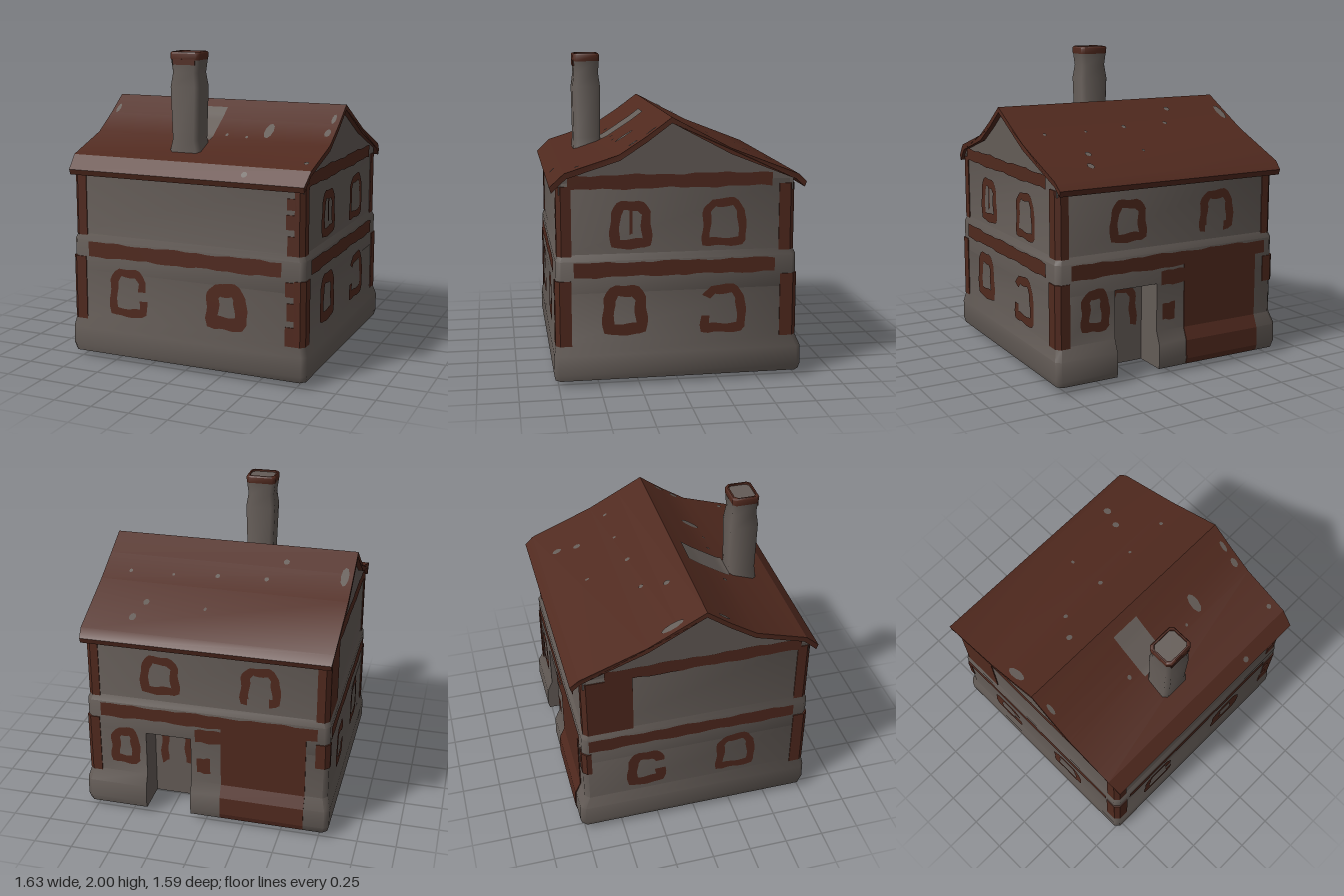
import * as THREE from 'three';
import { toCreasedNormals } from 'three/addons/utils/BufferGeometryUtils.js';

const brown = new THREE.MeshStandardMaterial({ color: 0x50291e });
brown.name = 'brownTimber';
const grey = new THREE.MeshStandardMaterial({ color: 0x645c57 });
grey.name = 'greyPlaster';

// Roof line as [z, y], front eave to back eave
const ROOF = [[0.79, 1.25], [0.7, 1.335], [0.37, 1.44], [0.2, 1.55], [0.05, 1.66], [-0.12, 1.57], [-0.32, 1.465], [-0.74, 1.3], [-0.795, 1.25]];
const roofY = z => {
  for (let i = 1; i < ROOF.length; i++) {
    const [za, ya] = ROOF[i - 1], [zb, yb] = ROOF[i];
    if (z >= zb) return ya + (yb - ya) * (z - za) / (zb - za);
  }
  return 1.25;
};
const DOOR = { x0: 0.1, x1: 0.4, z: -0.55, top: 0.59 };
// Wall distance from the centre: [angle, lower storey, upper storey]
const SIDES = {
  front: [0, 0.76, 0.745], right: [Math.PI / 2, 0.795, 0.78],
  back: [Math.PI, 0.74, 0.72], left: [-Math.PI / 2, 0.795, 0.78],
};

function add(parent, name, geometry, material) {
  const mesh = new THREE.Mesh(geometry, material);
  mesh.name = name;
  parent.add(mesh);
  return mesh;
}
function fromPositions(pos) {
  const g = new THREE.BufferGeometry();
  g.setAttribute('position', new THREE.Float32BufferAttribute(pos, 3));
  g.computeVertexNormals();
  return g;
}
function box(x0, x1, y0, y1, z0, z1) {
  return new THREE.BoxGeometry(x1 - x0, y1 - y0, z1 - z0).translate((x0 + x1) / 2, (y0 + y1) / 2, (z0 + z1) / 2);
}
// Stacks bevelled rectangles [y, x0, x1, z0, z1]; the doorway can be cut out
function loft(rings, c, notch) {
  const loops = rings.map(([y, x0, x1, z0, z1]) => [
    [x1, z1 - c], [x1, z0 + c], [x1 - c, z0],
    ...(notch ? [[DOOR.x1, z0], [DOOR.x1, DOOR.z], [DOOR.x0, DOOR.z], [DOOR.x0, z0]] : []),
    [x0 + c, z0], [x0, z0 + c], [x0, z1 - c], [x0 + c, z1], [x1 - c, z1],
  ].map(([x, z]) => [x, y, z]));
  const pos = [];
  for (let k = 0; k + 1 < loops.length; k++) {
    const n = loops[k].length;
    for (let i = 0; i < n; i++) {
      const j = (i + 1) % n, a = loops[k][i], b = loops[k][j], d = loops[k + 1][i], e = loops[k + 1][j];
      pos.push(...a, ...b, ...e, ...a, ...e, ...d);
    }
  }
  return toCreasedNormals(fromPositions(pos), 0.85);
}
// Extrudes a [z, y] profile along x
function alongX(profile, x0, x1) {
  const shape = new THREE.Shape(profile.map(([z, y]) => new THREE.Vector2(-z, y)));
  return new THREE.ExtrudeGeometry(shape, { depth: x1 - x0, bevelEnabled: false })
    .rotateY(Math.PI / 2).translate(x0, 0, 0);
}
// Places a flat drawing on a wall
function onWall(parent, side, name, geometry, upper) {
  const [angle, low, high] = SIDES[side];
  const mesh = add(parent, name, geometry.translate(0, 0, (upper ? high : low) + 0.006), brown);
  mesh.rotation.y = angle;
}
// Rough edged painted board
function board(u0, u1, y0, y1) {
  const pts = [], n = Math.max(4, Math.round((u1 - u0) / 0.07));
  const w = i => 0.004 * (Math.sin(i * 2.3 + u0 * 9) + Math.sin(i * 0.9 + y0 * 5));
  for (let i = 0; i <= n; i++) pts.push(new THREE.Vector2(u0 + (u1 - u0) * i / n, y0 + w(i)));
  for (let i = n; i >= 0; i--) pts.push(new THREE.Vector2(u0 + (u1 - u0) * i / n, y1 + w(i + 3)));
  return new THREE.ShapeGeometry(new THREE.Shape(pts));
}
// Arched window outline with wobbling thickness and an optional gap
function frame(u0, u1, y0, y1, half = 0.025, gap = [2, 2]) {
  const cx = (u0 + u1) / 2, cy = (y0 + y1) / 2, rx = (u1 - u0) / 2 - half, ry = (y1 - y0) / 2 - half;
  const path = new THREE.Shape([[-1, -1], [1, -1], [0.93, 0.55], [0.55, 0.97], [-0.55, 0.97], [-0.93, 0.55], [-1, -1]]
    .map(([x, y]) => new THREE.Vector2(cx + x * rx, cy + y * ry)));
  const n = 44, mid = path.getSpacedPoints(n), pos = [];
  const edge = (i, s) => {
    const p = mid[i % n], a = mid[(i + n - 1) % n], b = mid[(i + 1) % n];
    const t = b.clone().sub(a).normalize();
    const h = half + 0.005 * Math.sin((i % n) * Math.PI * 10 / n + u0 * 7 + s);
    return [p.x + t.y * h * s, p.y - t.x * h * s, 0];
  };
  for (let i = 0; i < n; i++) {
    if (i / n >= gap[0] && i / n < gap[1]) continue;
    const a = edge(i, 1), b = edge(i + 1, 1), c = edge(i + 1, -1), d = edge(i, -1);
    pos.push(...a, ...b, ...c, ...a, ...c, ...d);
  }
  return fromPositions(pos);
}
// Lays a flat patch on the roof
function onRoof(parent, name, geometry, x, z) {
  geometry.rotateX(-Math.PI / 2).translate(x, 0, z);
  const p = geometry.attributes.position;
  for (let i = 0; i < p.count; i++) p.setY(i, roofY(p.getZ(i)) + 0.006);
  geometry.computeVertexNormals();
  add(parent, name, geometry, grey);
}
// Bevelled post wrapping a wall corner
function cornerPost(parent, sx, sz, y0, y1, wx, wz) {
  const k = y0 > 0.8 ? 2 : 1, x = SIDES.right[k] + 0.006, z = (sz > 0 ? SIDES.front : SIDES.back)[k] + 0.006, c = 0.028;
  const plan = [[x - wx, z], [x - c, z], [x, z - c], [x, z - wz], [x - wx, z - wz]];
  const shape = new THREE.Shape(plan.map(([px, pz]) => new THREE.Vector2(sx * px, -sz * pz)));
  add(parent, 'cornerPost', new THREE.ExtrudeGeometry(shape, { depth: y1 - y0, bevelEnabled: false })
    .rotateX(-Math.PI / 2).translate(0, y0, 0), brown);
}

export function createModel() {
  const house = new THREE.Group();
  house.name = 'house';

  // Walls with flared base and doorway
  add(house, 'lowerWalls', loft([
    [0.04, -0.805, 0.805, -0.77, 0.77], [0.08, -0.815, 0.815, -0.78, 0.778], [0.2, -0.815, 0.815, -0.775, 0.775],
    [0.28, -0.795, 0.795, -0.74, 0.76], [DOOR.top, -0.795, 0.795, -0.74, 0.76]], 0.03, true), grey);
  add(house, 'upperWalls', loft([
    [DOOR.top, -0.795, 0.795, -0.74, 0.76], [0.79, -0.795, 0.795, -0.74, 0.76],
    [0.83, -0.78, 0.78, -0.72, 0.745], [1.27, -0.78, 0.78, -0.72, 0.745]], 0.03), grey);
  add(house, 'doorLintel', box(0.07, 0.43, DOOR.top, 0.62, -0.735, DOOR.z + 0.02), grey);
  const inner = ROOF.slice(2, -2).map(([z, y]) => [z, y - 0.02]);
  add(house, 'gables', alongX([[0.735, 1.2], [0.735, 1.28], [0.7, 1.315], ...inner, [-0.715, 1.285], [-0.715, 1.2]], -0.779, 0.779), grey);

  // Rough underside with a sunken pit
  const under = new THREE.PlaneGeometry(1.6, 1.54, 16, 14).rotateX(Math.PI / 2);
  const p = under.attributes.position;
  for (let i = 0; i < p.count; i++) {
    const x = p.getX(i), z = p.getZ(i);
    let y = 0.04;
    if (x > -0.36 && x < 0.72 && Math.abs(z) < 0.65) y = 0.07 + 0.04 * Math.sin(x * 23 + z * 7) * Math.cos(z * 19 - x * 5);
    if (x > -0.45 && x < 0.45 && z > -0.5 && z < -0.15) y = 0.2;
    if (Math.hypot(x - 0.6, z - 0.17) < 0.09) y = 0;
    p.setY(i, y);
  }
  const kept = [], idx = under.index.array;
  for (let i = 0; i < idx.length; i += 3) {
    const t = [idx[i], idx[i + 1], idx[i + 2]];
    const x = t.reduce((s, k) => s + p.getX(k) / 3, 0), z = t.reduce((s, k) => s + p.getZ(k) / 3, 0);
    if (!(x > DOOR.x0 && x < DOOR.x1 && z < DOOR.z)) kept.push(...t);
  }
  under.setIndex(kept);
  add(house, 'underside', toCreasedNormals(under, 0.4), grey);

  // Roof slab, slightly narrower at the eaves
  const lower = ROOF.map(([z, y]) => [z * 0.985, y - 0.035]).reverse();
  const slab = alongX([...ROOF, ...lower], -0.812, 0.812), rp = slab.attributes.position;
  for (let i = 0; i < rp.count; i++) rp.setX(i, rp.getX(i) * (1 - 0.022 * THREE.MathUtils.clamp((1.36 - rp.getY(i)) / 0.12, 0, 1)));
  add(house, 'roof', toCreasedNormals(slab, 0.4), brown);
  const spots = [[0.5, -0.62, 0.022, 0.03], [0.45, -0.49, 0.02, 0.025], [0.06, -0.5, 0.01, 0.014], [0.05, -0.23, 0.015, 0.016],
    [0.34, -0.25, 0.01, 0.01], [0.63, -0.25, 0.012, 0.013], [-0.27, -0.22, 0.015, 0.015], [-0.37, -0.08, 0.02, 0.02],
    [-0.76, -0.15, 0.026, 0.07], [0.38, 0.29, 0.03, 0.06], [0.765, 0.28, 0.02, 0.03], [0.77, 0.17, 0.014, 0.035],
    [-0.77, 0.17, 0.014, 0.035], [0.11, 0.34, 0.01, 0.012], [-0.26, 0.34, 0.014, 0.014], [0.25, 0.35, 0.01, 0.01],
    [0.4, 0.75, 0.02, 0.016], [0.75, 0.62, 0.016, 0.016]];
  for (const [x, z, rx, rz] of spots) onRoof(house, 'roofSpot', new THREE.CircleGeometry(1, 9).scale(rx, rz, 1), x, z);
  onRoof(house, 'roofPatch', new THREE.PlaneGeometry(0.2, 0.28, 2, 14), -0.08, 0.26);

  // Chimney with a painted rim
  const cring = (y, hx, hz) => [y, -0.08 - hx, -0.08 + hx, 0.49 - hz, 0.49 + hz];
  add(house, 'chimney', loft([cring(1.34, 0.115, 0.095), cring(1.45, 0.09, 0.088), cring(1.78, 0.1, 0.092),
    cring(1.87, 0.088, 0.08), cring(1.95, 0.098, 0.085)], 0.025), grey);
  add(house, 'chimneyRim', loft([cring(1.95, 0.098, 0.085), cring(1.99, 0.1, 0.087), cring(2, 0.094, 0.08),
    cring(2, 0.084, 0.07), cring(1.97, 0.082, 0.068)], 0.02), brown);
  add(house, 'chimneyFrontPaint', box(-0.155, -0.005, 1.92, 1.955, 0.569, 0.577), brown);
  add(house, 'chimneyTop', box(-0.163, 0.003, 1.96, 1.988, 0.421, 0.559), grey);

  // Corner posts: [x sign, z sign, y0, y1, width on x, width on z]; the front left ones are worn
  const posts = [[-1, 1, 0.26, 0.68, 0.1, 0.1], [-1, 1, 0.82, 1.25, 0.09, 0.09],
    [1, 1, 0.26, 0.67, 0.07, 0.1], [1, 1, 0.26, 0.38, 0.125, 0.1], [1, 1, 0.42, 0.53, 0.115, 0.1], [1, 1, 0.57, 0.66, 0.125, 0.1],
    [1, 1, 0.82, 1.25, 0.06, 0.09], [1, 1, 0.82, 0.94, 0.105, 0.09], [1, 1, 0.98, 1.07, 0.115, 0.09], [1, 1, 1.1, 1.17, 0.11, 0.09],
    [1, -1, 0.27, 0.67, 0.09, 0.11], [1, -1, 0.82, 1.24, 0.08, 0.1],
    [-1, -1, 0.5, 0.67, 0.09, 0.06], [-1, -1, 0.82, 1.24, 0.08, 0.32]];
  for (const post of posts) cornerPost(house, ...post);

  // Floor beams and gable beams
  onWall(house, 'front', 'floorBeam', board(-0.68, 0.65, 0.685, 0.78), false);
  onWall(house, 'right', 'floorBeam', board(-0.65, 0.6, 0.69, 0.78), false);
  onWall(house, 'left', 'floorBeam', board(-0.7, 0.66, 0.69, 0.78), false);
  onWall(house, 'back', 'floorBeam', board(-0.7, 0.72, 0.69, 0.78), false);
  onWall(house, 'right', 'gableBeam', board(-0.68, 0.58, 1.23, 1.315), true);
  onWall(house, 'left', 'gableBeam', board(-0.58, 0.68, 1.23, 1.315), true);

  // Windows: [side, u0, u1, y0, y1, half thickness, gap]
  const windows = [['front', -0.53, -0.26, 0.31, 0.63, 0.027, [0.32, 0.4]], ['front', 0.15, 0.43, 0.31, 0.61, 0.042],
    ['right', -0.48, -0.2, 0.32, 0.64, 0.036], ['right', 0.13, 0.42, 0.31, 0.62, 0.029, [0.76, 0.9]],
    ['right', -0.43, -0.17, 0.86, 1.16, 0.03], ['right', 0.14, 0.42, 0.86, 1.16, 0.025],
    ['left', -0.46, -0.2, 0.32, 0.61, 0.034, [0.36, 0.44]], ['left', 0.14, 0.41, 0.32, 0.62, 0.027],
    ['back', -0.64, -0.44, 0.35, 0.62, 0.03],
    ['back', -0.43, -0.17, 0.88, 1.15, 0.028], ['back', 0.22, 0.48, 0.88, 1.15, 0.028, [0.02, 0.2]]];
  for (const [side, u0, u1, y0, y1, half, gap] of windows)
    onWall(house, side, 'windowFrame', frame(u0, u1, y0, y1, half, gap), y0 > 0.8);
  onWall(house, 'right', 'windowBar', board(-0.308, -0.288, 0.95, 1.1), true);

  // Wide back door panel following the flared base
  add(house, 'widePanel', alongX([[-0.72, 0.045], [-0.776, 0.045], [-0.786, 0.08], [-0.781, 0.2], [-0.746, 0.28], [-0.746, 0.7], [-0.72, 0.7]], -0.65, -0.1), brown);
  // Broken door trim beside and inside the doorway
  onWall(house, 'back', 'doorTrim', board(-0.07, 0.1, 0.58, 0.67), false);
  onWall(house, 'back', 'doorTrim', board(-0.06, 0.03, 0.35, 0.46), false);
  add(house, 'innerDoorFrame', frame(-0.36, -0.14, 0.25, 0.56, 0.025, [0, 0.22]).rotateY(Math.PI).translate(0, 0, DOOR.z - 0.006), brown);
  return house;
}
